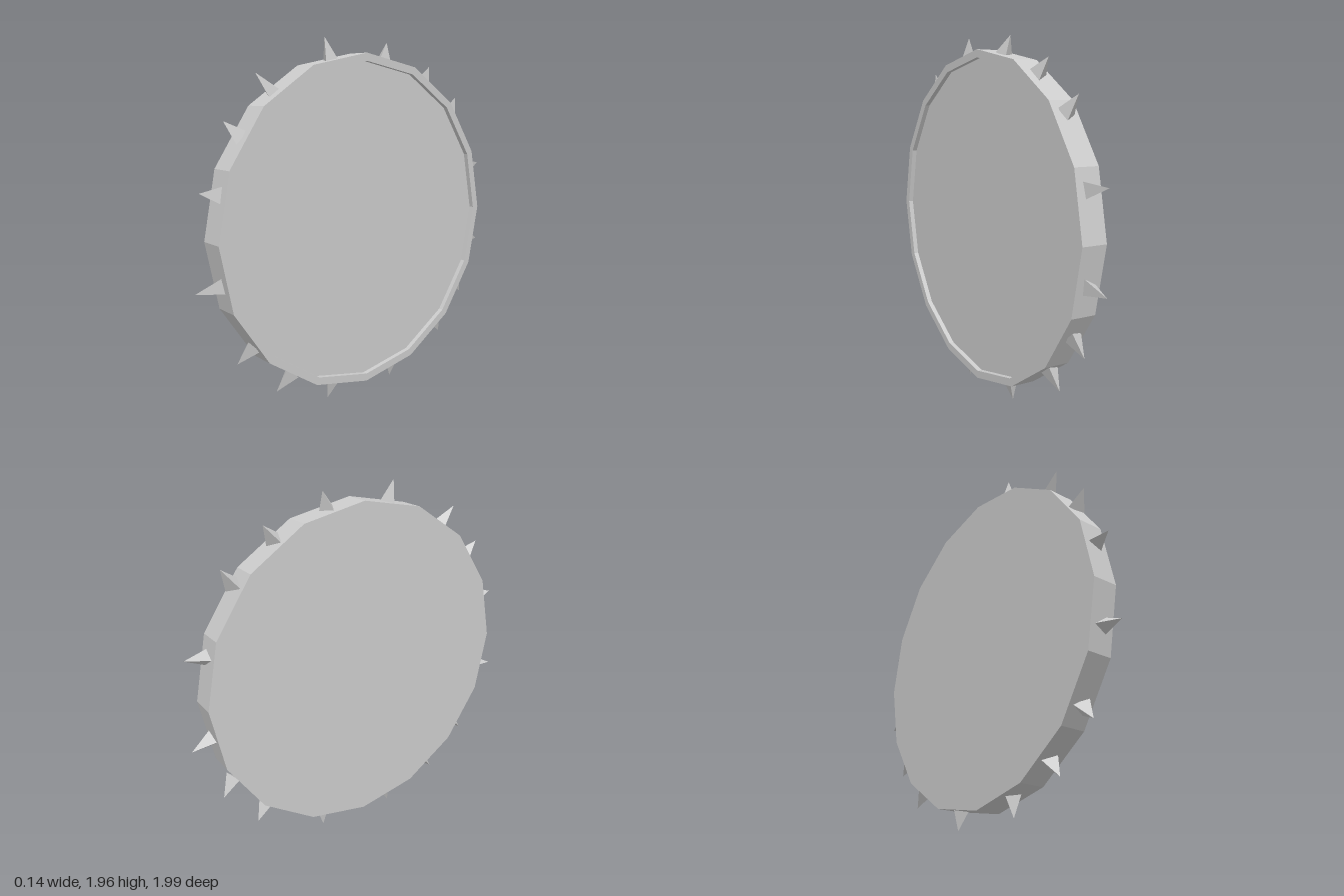
import * as THREE from 'three';

const CENTRE_Y = 0.985;

// Spikes around the rim: [base z, base y, tip z, tip y]
const SPIKES = [
  [0.20, 1.85, 0.22, 1.97], [0.54, 1.67, 0.635, 1.785],
  [0.75, 1.485, 0.82, 1.56], [0.865, 1.215, 0.96, 1.23],
  [0.86, 0.775, 1.0, 0.75], [0.71, 0.425, 0.785, 0.35],
  [0.48, 0.225, 0.555, 0.14], [0.20, 0.12, 0.22, 0.01],
  [-0.235, 0.125, -0.245, 0.02], [-0.595, 0.30, -0.66, 0.21],
  [-0.775, 0.52, -0.845, 0.435], [-0.87, 0.79, -0.99, 0.76],
  [-0.855, 1.23, -0.985, 1.25], [-0.70, 1.57, -0.765, 1.655],
  [-0.475, 1.755, -0.535, 1.83], [-0.17, 1.865, -0.205, 1.955],
];

export function createModel() {
  const model = new THREE.Group();
  const material = new THREE.MeshStandardMaterial({ color: 0xcccccc, flatShading: true });

  // Sixteen-sided disc, flat on one side, shallow recess inside a raised lip on the other
  const profile = [
    [0, -0.07], [0.908, -0.07], [0.908, 0.07], [0.866, 0.07], [0.866, 0.043], [0, 0.043],
  ].map(([r, h]) => new THREE.Vector2(r, h));
  const disc = new THREE.Mesh(new THREE.LatheGeometry(profile, 16), material);
  disc.name = 'disc';
  disc.rotation.z = -Math.PI / 2;
  disc.position.y = CENTRE_Y;
  model.add(disc);

  // Three-sided spikes, sunk slightly into the rim and leaning a little
  const spikes = new THREE.Group();
  spikes.name = 'spikes';
  const sink = 0.012;
  for (const [bz, by, tz, ty] of SPIKES) {
    const dz = tz - bz, dy = ty - by;
    const length = Math.hypot(dz, dy);
    const height = length + sink;
    const geometry = new THREE.ConeGeometry(0.051, height, 3)
      .translate(0, height / 2, 0)
      .rotateY(-Math.PI / 2 + 0.07)
      .rotateZ(0.1);
    const spike = new THREE.Mesh(geometry, material);
    spike.name = 'spike';
    spike.rotation.x = Math.atan2(dz, dy);
    spike.position.set(0.004, by - (dy / length) * sink, bz - (dz / length) * sink);
    spikes.add(spike);
  }
  model.add(spikes);

  return model;
}
